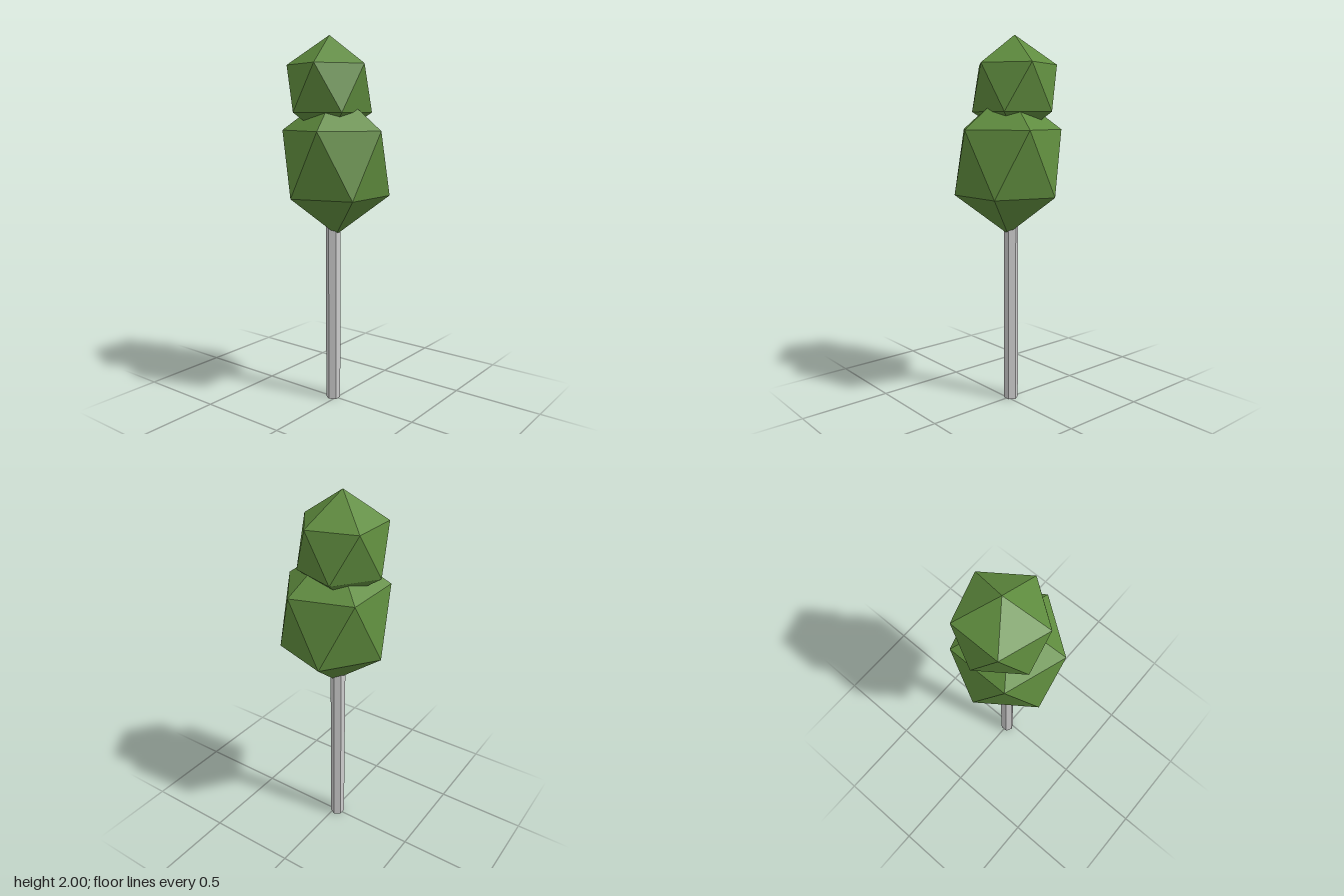
import * as THREE from 'three';

// Icosahedron turned point-up, stretched in height
function foliage(name, radius, stretch, x, y, material) {
  const geometry = new THREE.IcosahedronGeometry(radius, 0);
  geometry.rotateZ(-Math.atan2(1, (1 + Math.sqrt(5)) / 2));
  geometry.scale(1, stretch, 1);
  geometry.computeVertexNormals();
  const mesh = new THREE.Mesh(geometry, material);
  mesh.name = name;
  mesh.position.set(x, y, 0);
  return mesh;
}

export function createModel() {
  const tree = new THREE.Group();
  tree.name = 'tree';
  const leaves = new THREE.MeshStandardMaterial({ color: 0x5f8c3e, flatShading: true });
  const bark = new THREE.MeshStandardMaterial({ color: 0xcccccc, flatShading: true });

  // Six-sided trunk, running a little way into the foliage
  const height = 1.08;
  const trunk = new THREE.Mesh(new THREE.CylinderGeometry(0.04, 0.04, height, 6), bark);
  trunk.name = 'trunk';
  trunk.position.set(-0.022, height / 2, 0);
  tree.add(trunk);

  // Two stacked clumps of leaves
  tree.add(foliage('lowerFoliage', 0.321, 1.215, 0, 1.335, leaves));
  tree.add(foliage('upperFoliage', 0.253, 1.09, -0.046, 1.725, leaves));
  return tree;
}
